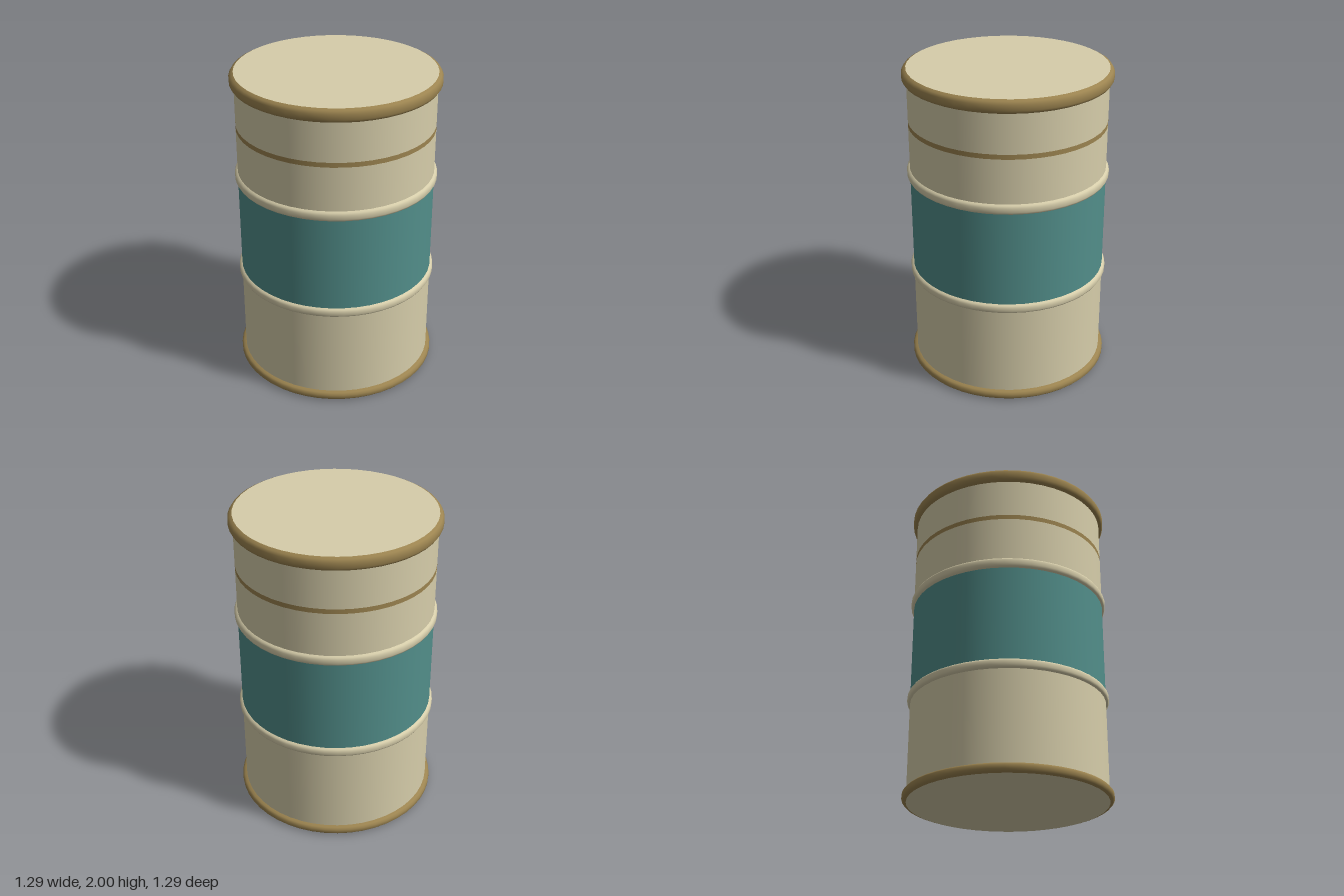
import * as THREE from 'three';

const SIDES = 48;
const R = 0.617; // wall radius

const cream = new THREE.MeshStandardMaterial({ color: 0xd6cdaa });
const tan = new THREE.MeshStandardMaterial({ color: 0x9c8450 });
const teal = new THREE.MeshStandardMaterial({ color: 0x528e8a });

export function createModel() {
  const barrel = new THREE.Group();
  barrel.name = 'barrel';

  const add = (name, geometry, material, y = 0) => {
    const mesh = new THREE.Mesh(geometry, material);
    mesh.name = name;
    mesh.position.y = y;
    barrel.add(mesh);
    return mesh;
  };

  // Straight section of the wall between two heights
  const wall = (name, y0, y1, material) =>
    add(name, new THREE.CylinderGeometry(R, R, y1 - y0, SIDES, 1, true), material, (y0 + y1) / 2);

  // Rounded hoop swelling out of the wall, profile runs bottom to top
  const hoop = (name, y0, y1, bulge, material) => {
    const h = y1 - y0;
    const profile = [[0, 0], [0.6, 0.1], [1, 0.3], [1, 0.7], [0.6, 0.9], [0, 1]]
      .map(([out, up]) => new THREE.Vector2(R + out * bulge, y0 + up * h));
    add(name, new THREE.LatheGeometry(profile, SIDES), material);
  };

  // Wall bands from the floor up
  wall('lowerWall', 0, 0.69, cream);
  wall('middleBand', 0.69, 1.295, teal);
  wall('upperWall', 1.295, 1.64, cream);
  wall('thinStripe', 1.64, 1.67, tan);
  wall('topWall', 1.67, 2, cream);

  // Rims and reinforcing ribs
  hoop('bottomRim', 0, 0.06, 0.027, tan);
  hoop('lowerRib', 0.63, 0.69, 0.018, cream);
  hoop('upperRib', 1.295, 1.36, 0.018, cream);
  hoop('topRim', 1.915, 2, 0.027, tan);

  // Flat end caps
  const disc = new THREE.CircleGeometry(R, SIDES);
  add('lid', disc, cream, 2).rotation.x = -Math.PI / 2;
  add('base', disc, cream, 0).rotation.x = Math.PI / 2;

  return barrel;
}
